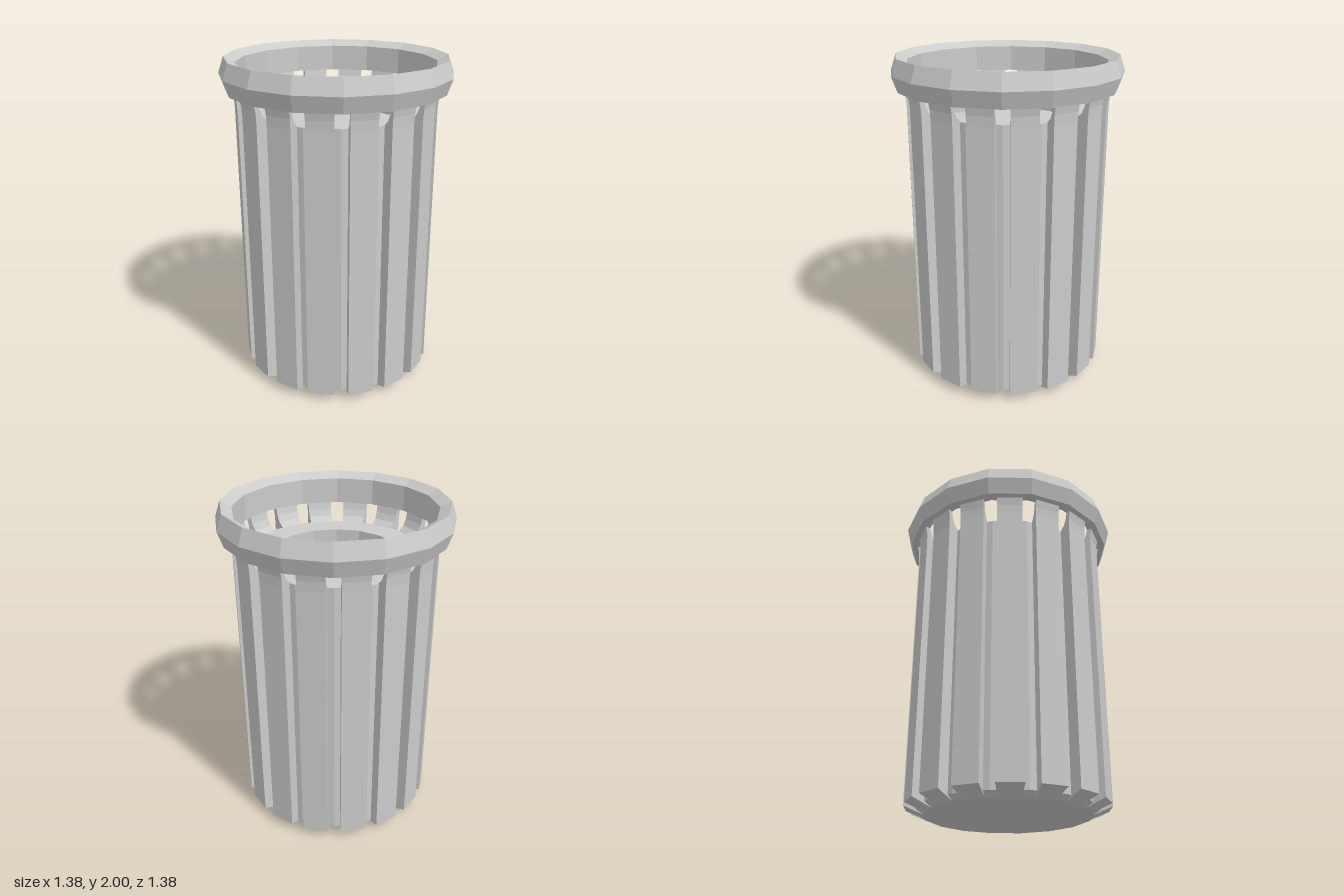
import * as THREE from 'three';

const SIDES = 16;
const STEP = (Math.PI * 2) / SIDES;
const TURN = THREE.MathUtils.degToRad(5); // corner nearest the front
const HALF = THREE.MathUtils.degToRad(7.3); // half the angle covered by a slat

const material = new THREE.MeshStandardMaterial({ color: 0xcccccc, flatShading: true });

const toPoints = (pairs) => pairs.map(([r, y]) => new THREE.Vector2(r, y));

// Faceted turned part, with radii measured to the corners
function turned(name, pairs) {
  const mesh = new THREE.Mesh(new THREE.LatheGeometry(toPoints(pairs), SIDES, TURN), material);
  mesh.name = name;
  return mesh;
}

// Slat: radial profile swept across a wedge whose sides point at the axis
function slatGeometry() {
  const profile = new THREE.Shape(toPoints([
    [0.48, 0], [0.6, 0.05], [0.6, 1.7], [0.603, 1.76], [0.612, 1.81],
    [0.583, 1.81], [0.574, 1.77], [0.555, 1.73], [0.52, 1.7], [0.52, 0.03],
  ]));
  const geometry = new THREE.ExtrudeGeometry(profile, { depth: 1, bevelEnabled: false });
  const pos = geometry.attributes.position;
  for (let i = 0; i < pos.count; i++) {
    const r = pos.getX(i);
    const across = 1 - 2 * pos.getZ(i);
    pos.setXYZ(i, r * Math.tan(HALF) * across, pos.getY(i), r);
  }
  geometry.computeVertexNormals();
  return geometry;
}

export function createModel() {
  const model = new THREE.Group();
  model.name = 'slattedBin';

  // Inner body with a shallow recess in its top
  model.add(turned('innerBody', [
    [0, 0], [0.49, 0], [0.535, 0.03], [0.535, 1.7], [0.375, 1.7], [0.375, 1.6], [0, 1.6],
  ]));

  // Rim ring carried by the slats
  model.add(turned('rim', [
    [0.595, 1.81], [0.66, 1.81], [0.693, 1.905], [0.66, 2], [0.595, 1.966], [0.595, 1.81],
  ]));

  // Slats centred on the flats, leaving slots at the corners
  const slats = new THREE.Group();
  slats.name = 'slats';
  const geometry = slatGeometry();
  for (let i = 0; i < SIDES; i++) {
    const slat = new THREE.Mesh(geometry, material);
    slat.name = 'slat';
    slat.rotation.y = TURN + (i + 0.5) * STEP;
    slats.add(slat);
  }
  model.add(slats);

  return model;
}
